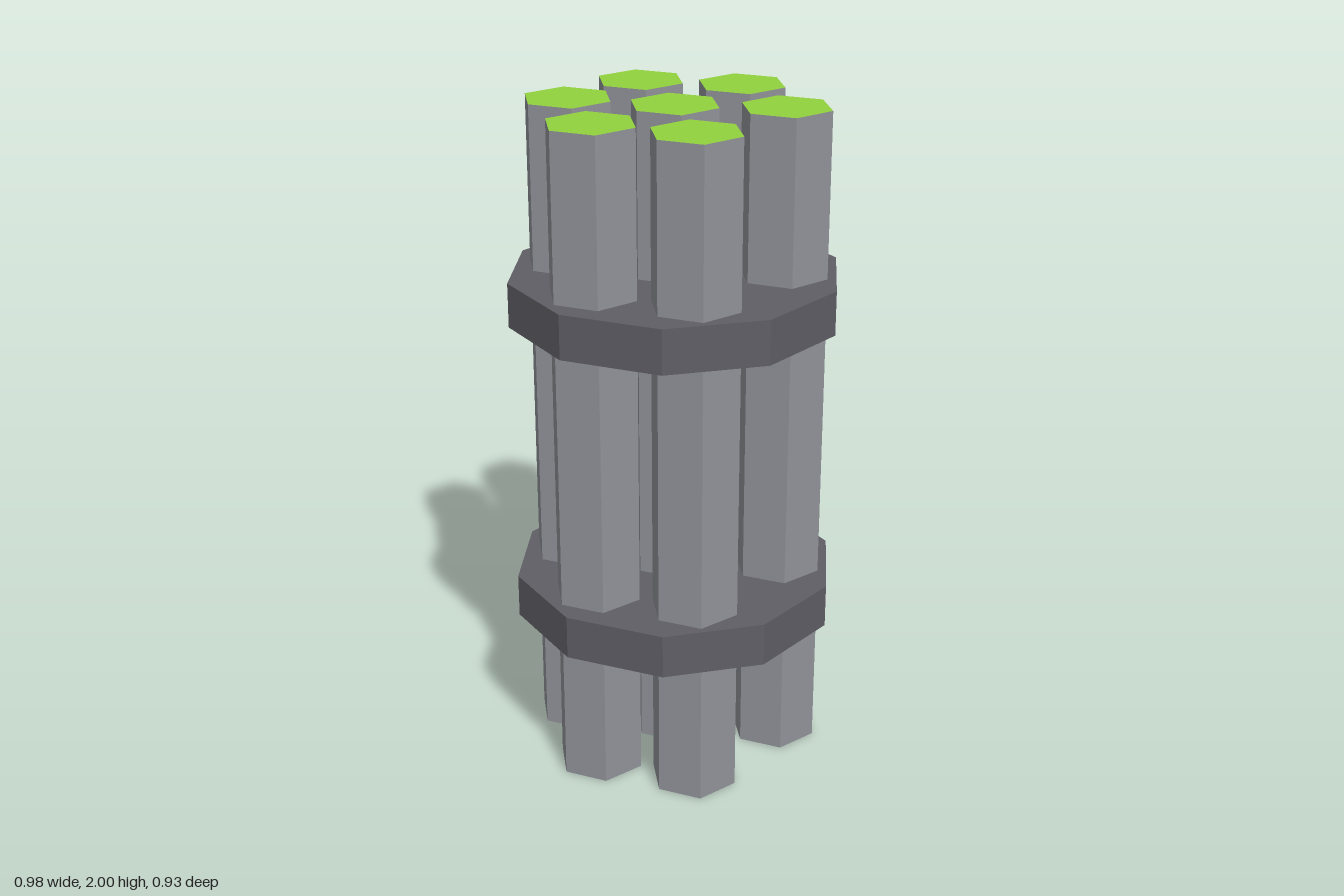
import * as THREE from 'three';

export function createModel() {
  const group = new THREE.Group();
  const mat = (name, color) => {
    const m = new THREE.MeshStandardMaterial({ color, flatShading: true });
    m.name = name;
    return m;
  };
  const rodGrey = mat('rodGrey', 0x909399);
  const bandGrey = mat('bandGrey', 0x605e66);
  const endGreen = mat('endGreen', 0x92d23e);

  // hexagonal rods with green end faces: one in the centre, six around it one radian apart
  const rodGeo = new THREE.CylinderGeometry(0.133, 0.133, 2, 6).rotateY(Math.PI / 2);
  const ring = 0.312;
  for (let i = 0; i <= 6; i++) {
    const rod = new THREE.Mesh(rodGeo, [rodGrey, endGreen, endGreen]);
    rod.name = i === 0 ? 'centreRod' : `outerRod${i}`;
    const r = i === 0 ? 0 : ring;
    rod.position.set(Math.cos(i) * r, 1, Math.sin(i) * r);
    group.add(rod);
  }

  // ten-sided plates holding the rods together
  const plateGeo = new THREE.CylinderGeometry(0.488, 0.488, 0.132, 10).rotateY(Math.PI / 2);
  [['lowerPlate', 0.515], ['upperPlate', 1.448]].forEach(([name, y]) => {
    const plate = new THREE.Mesh(plateGeo, bandGrey);
    plate.name = name;
    plate.position.y = y;
    group.add(plate);
  });

  return group;
}
